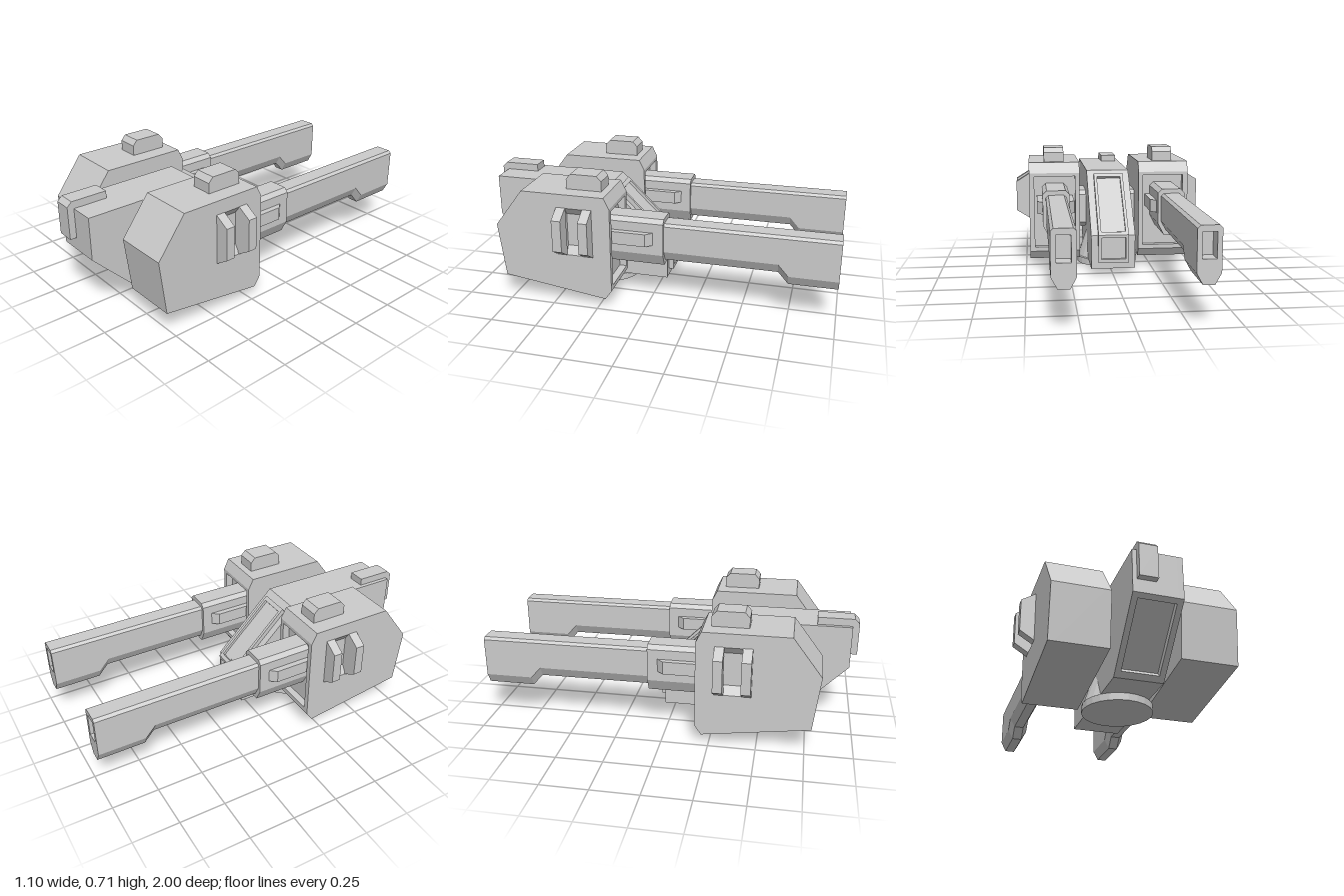
import * as THREE from 'three';

const material = new THREE.MeshStandardMaterial({ color: 0xcccccc, flatShading: true });

function toShape(points) {
  return new THREE.Shape(points.map(([a, b]) => new THREE.Vector2(a, b)));
}

function add(parent, name, geometry) {
  const mesh = new THREE.Mesh(geometry, material);
  mesh.name = name;
  parent.add(mesh);
  return mesh;
}

// Side profile of [z, y] points, extruded across x from xa to xb
function sideSlab(profile, xa, xb, hole) {
  const shape = toShape(profile);
  if (hole) shape.holes.push(toShape(hole));
  const geometry = new THREE.ExtrudeGeometry(shape, { depth: Math.abs(xb - xa), bevelEnabled: false });
  return geometry.rotateY(-Math.PI / 2).translate(Math.max(xa, xb), 0, 0);
}

// Front profile of [x, y] points, extruded along z from z0 to z1
function frontSlab(profile, z0, z1, hole) {
  const shape = toShape(profile);
  if (hole) shape.holes.push(toShape(hole));
  return new THREE.ExtrudeGeometry(shape, { depth: z1 - z0, bevelEnabled: false }).translate(0, 0, z0);
}

// Gun cross-section: small chamfers on top, long chamfers below
function gunSection(cx, half, bottom, top, cut, taper, flat) {
  const right = [[flat, bottom], [half, bottom + taper], [half, top - cut], [half - cut, top]];
  const left = right.map(([x, y]) => [-x, y]).reverse();
  return [...right, ...left].map(([x, y]) => [cx + x, y]);
}

function rect(a0, a1, b0, b1) {
  return [[a0, b0], [a1, b0], [a1, b1], [a0, b1]];
}

function createHull() {
  const hull = new THREE.Group();
  hull.name = 'centralHull';
  const upper = [[0.29, 0.57], [0.965, 0.57], [0.965, 0.34]];
  const lower = [[0.67, 0.04], [-0.045, 0.04], [-0.045, 0.235]];
  const recess = [[0.945, 0.32], [0.922, 0.343], [0.672, 0.088], [0.695, 0.065]];

  // Solid cheeks and a middle with a recess in the sloped nose
  for (const s of [-1, 1]) add(hull, 'hullCheek', sideSlab([...upper, ...lower], s * 0.097, s * 0.127));
  add(hull, 'hullCore', sideSlab([...upper, ...recess, ...lower], -0.097, 0.097));

  // Rear hatch wrapping from the slope onto the back face
  const rail = [[0.26, 0.53], [0.243, 0.557], [-0.072, 0.242], [-0.072, 0.08], [-0.04, 0.08], [-0.04, 0.23]];
  const panel = [[0.26, 0.53], [0.243, 0.557], [0.225, 0.539], [0.235, 0.527], [-0.045, 0.247],
    [-0.057, 0.257], [-0.072, 0.242], [-0.072, 0.225], [-0.052, 0.225], [-0.052, 0.1],
    [-0.072, 0.1], [-0.072, 0.08], [-0.04, 0.08], [-0.04, 0.23]];
  for (const s of [-1, 1]) add(hull, 'hatchRail', sideSlab(rail, s * 0.07, s * 0.087));
  add(hull, 'hatchPanel', sideSlab(panel, -0.07, 0.07));
  add(hull, 'hatchPlate', sideSlab([[0.09, 0.37], [0.088, 0.382], [-0.04, 0.254], [-0.04, 0.24]], -0.07, 0.07));

  // Sensor hooked over the top front edge
  add(hull, 'sensor', sideSlab([[0.78, 0.56], [0.78, 0.61], [0.975, 0.61], [1, 0.585],
    [1, 0.41], [0.955, 0.41], [0.955, 0.56]], -0.105, -0.01));

  // Chamfered axle joining the pods
  const c = 0.025;
  add(hull, 'axle', sideSlab([[0.36, 0.21 + c], [0.36 + c, 0.21], [0.6 - c, 0.21], [0.6, 0.21 + c],
    [0.6, 0.435 - c], [0.6 - c, 0.435], [0.36 + c, 0.435], [0.36, 0.435 - c]], -0.18, 0.18));
  return hull;
}

function createPod(s) {
  const pod = new THREE.Group();
  pod.name = s > 0 ? 'leftPod' : 'rightPod';
  const front = [[0.205, 0.63], [0.66, 0.63], [0.815, 0.425], [0.78, 0.13], [0.21, 0.05]];
  const back = [[0.175, 0.1], [0.175, 0.57]];
  const notched = [[0.175, 0.1], [0.175, 0.125], [0.215, 0.125], [0.215, 0.55], [0.175, 0.55], [0.175, 0.57]];

  // Inner wall, core with recessed back, outer wall with a vent opening
  add(pod, 'podInnerWall', sideSlab([...front, ...back], s * 0.177, s * 0.203));
  add(pod, 'podCore', sideSlab([...front, ...notched], s * 0.203, s * 0.445));
  add(pod, 'podOuterWall', sideSlab([...front, ...back], s * 0.445, s * 0.475, rect(0.32, 0.42, 0.29, 0.555)));

  // Sloped ends inside the vent
  for (const [edge, inner] of [[0.555, 0.515], [0.29, 0.335]]) {
    add(pod, 'ventSlope', frontSlab([[s * 0.445, edge], [s * 0.475, edge], [s * 0.445, inner]], 0.32, 0.42));
  }
  // Fins either side of the vent
  const fin = [[0.47, 0.285], [0.55, 0.335], [0.55, 0.51], [0.47, 0.56]].map(([x, y]) => [s * x, y]);
  for (const z of [0.273, 0.417]) add(pod, 'ventFin', frontSlab(fin, z, z + 0.05));

  add(pod, 'roofBlock', sideSlab([[0.245, 0.62], [0.44, 0.62], [0.44, 0.685], [0.415, 0.713],
    [0.27, 0.713], [0.245, 0.685]], s * 0.268, s * 0.385));
  return pod;
}

function createGun(s) {
  const gun = new THREE.Group();
  gun.name = s > 0 ? 'leftGun' : 'rightGun';
  const cx = s * 0.325;

  // Housing with a tapered blister on both sides
  add(gun, 'gunHousing', frontSlab(gunSection(cx, 0.075, 0.24, 0.505, 0.022, 0.067, 0.04), -0.09, 0.23));
  for (const side of [-1, 1]) {
    const shape = toShape([[0.065, -0.035], [0.075, -0.035], [0.106, 0], [0.106, 0.23], [0.065, 0.23]]
      .map(([x, z]) => [cx + side * x, -z]));
    const blister = new THREE.ExtrudeGeometry(shape, { depth: 0.07, bevelEnabled: false });
    add(gun, 'housingBlister', blister.rotateX(-Math.PI / 2).translate(0, 0.362, 0));
  }

  // Barrel, sloped step and deeper hollow muzzle
  const deep = gunSection(cx, 0.058, 0.205, 0.48, 0.014, 0.055, 0.028);
  add(gun, 'barrel', frontSlab(gunSection(cx, 0.058, 0.267, 0.48, 0.014, 0.055, 0.028), -0.69, -0.05));
  const step = frontSlab(deep, -0.745, -0.69);
  const pos = step.attributes.position;
  for (let i = 0; i < pos.count; i++) {
    if (pos.getZ(i) > -0.7 && pos.getY(i) < 0.3) pos.setY(i, pos.getY(i) + 0.062);
  }
  step.computeVertexNormals();
  add(gun, 'barrelStep', step);
  add(gun, 'muzzle', frontSlab(deep, -1, -0.92, rect(cx - 0.034, cx + 0.034, 0.325, 0.45)));
  add(gun, 'muzzleRear', frontSlab(deep, -0.92, -0.745));
  return gun;
}

export function createModel() {
  const model = new THREE.Group();
  model.name = 'twinGunTurret';
  model.add(createHull());
  for (const s of [-1, 1]) model.add(createPod(s), createGun(s));

  // Round foot flaring out under the hull
  const foot = [[0, 0], [0.185, 0], [0.185, 0.038], [0.178, 0.042], [0.1, 0.28], [0, 0.28]];
  add(model, 'foot', new THREE.LatheGeometry(foot.map(([r, y]) => new THREE.Vector2(r, y)), 24))
    .position.z = 0.335;
  return model;
}
